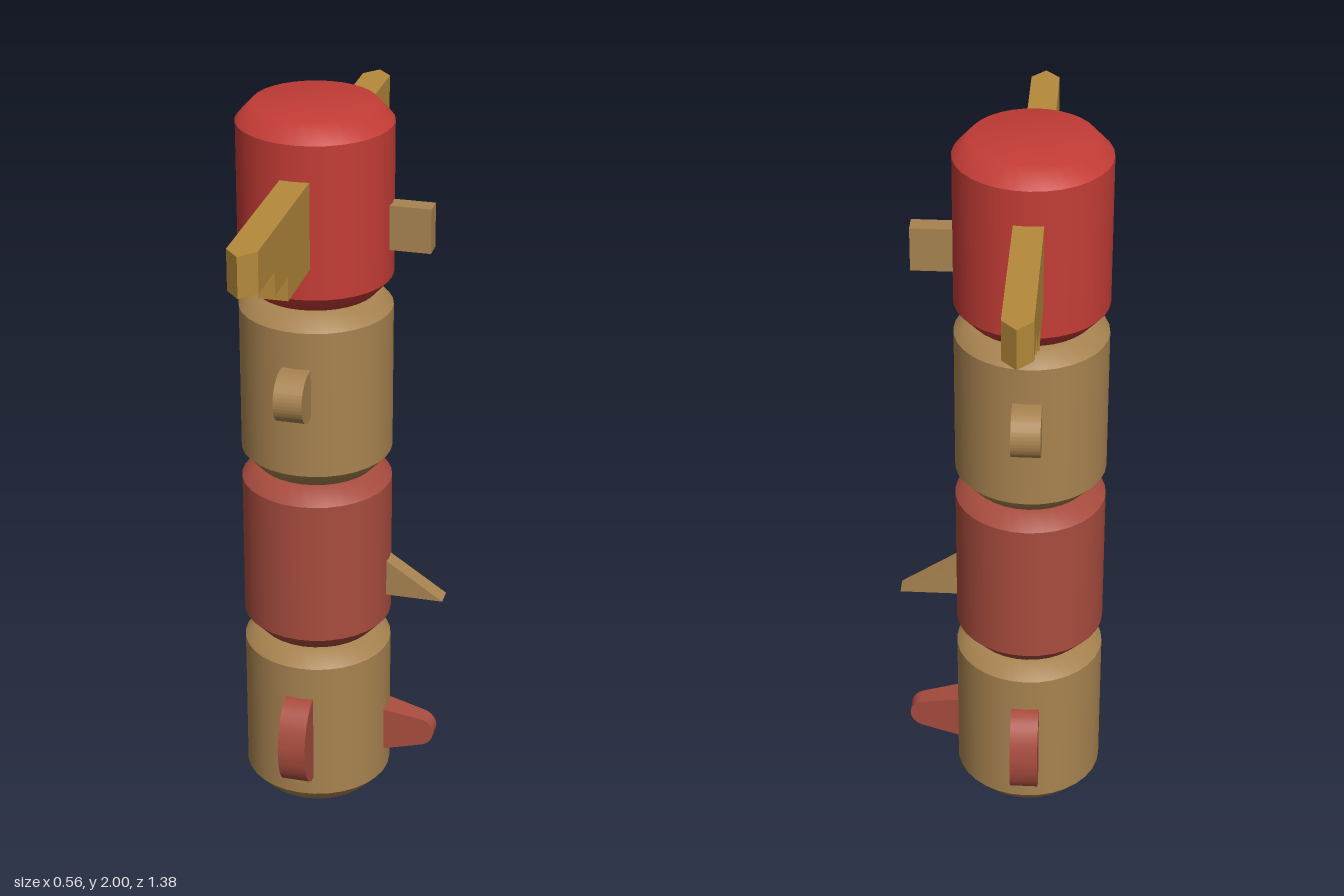
import * as THREE from 'three';
import { toCreasedNormals } from 'three/addons/utils/BufferGeometryUtils.js';

const R = 0.202;        // pole radius
const AXIS_X = -0.077;  // pole axis, offset by the beaks on one side
const WIDTH = 0.076;    // thickness of wings, ears and arms

function material(name, color) {
  const m = new THREE.MeshStandardMaterial({ color });
  m.name = name;
  return m;
}

// Extrudes a shape and centres it on its thickness
function slab(shape, depth, steps = 1) {
  return new THREE.ExtrudeGeometry(shape, { depth, steps, bevelEnabled: false, curveSegments: 20 })
    .translate(0, 0, -depth / 2);
}

function polygon(points) {
  return new THREE.Shape(points.map(([x, y]) => new THREE.Vector2(x, y)));
}

// Half ellipse bulging outwards from the pole
function roundedShape(start, y, rx, ry) {
  const s = new THREE.Shape();
  s.moveTo(0.15, y - ry);
  s.lineTo(start, y - ry);
  s.absellipse(start, y, rx, ry, -Math.PI / 2, Math.PI / 2, false);
  s.lineTo(0.15, y + ry);
  s.closePath();
  return s;
}

export function createModel() {
  const red = material('bright red', 0xc43c36);
  const brick = material('brick red', 0xa84c3e);
  const tan = material('tan wood', 0xa88350);
  const gold = material('golden wood', 0xb5893a);

  const model = new THREE.Group();
  model.name = 'totemPole';
  const pole = new THREE.Group();
  pole.name = 'pole';
  pole.position.x = AXIS_X;
  model.add(pole);

  function add(name, geometry, mat) {
    const mesh = new THREE.Mesh(geometry, mat);
    mesh.name = name;
    pole.add(mesh);
    return mesh;
  }

  // Places a profile drawn as (outward, up) on the front and back of the pole
  function addPair(name, geometry, mat) {
    add(name + 'Front', geometry, mat).rotation.y = -Math.PI / 2;
    add(name + 'Back', geometry, mat).rotation.y = Math.PI / 2;
  }

  // Four stacked drums with bevelled ends; doubled points keep the rims sharp
  const neck = 0.16, bevel = 0.046;
  const profile = [
    [0, 0], [neck, 0], [R, bevel], [R, bevel],
    [R, 0.5 - bevel], [R, 0.5 - bevel], [neck, 0.5], [0, 0.5],
  ].map(([x, y]) => new THREE.Vector2(x, y));
  const drum = new THREE.LatheGeometry(profile, 32);
  [tan, brick, tan, red].forEach((mat, i) => {
    add('section' + (i + 1), drum, mat).position.y = i * 0.5;
  });

  // Stepped wings; the middle ring of the end is pulled out to a ridge
  const wing = slab(polygon([
    [0.15, 1.63], [0.4, 1.63], [0.4, 1.692], [0.515, 1.692],
    [0.515, 1.755], [0.65, 1.755], [0.65, 1.86], [0.15, 1.86],
  ]), WIDTH, 2);
  const wp = wing.attributes.position;
  for (let i = 0; i < wp.count; i++) {
    if (wp.getX(i) > 0.64 && Math.abs(wp.getZ(i)) < 0.001) wp.setX(i, 0.692);
  }
  wing.computeVertexNormals();
  addPair('wing', wing, gold);

  // Rounded ears and arms
  addPair('ear', toCreasedNormals(slab(roundedShape(0.22, 1.286, 0.07, 0.067), WIDTH), 0.6), tan);
  addPair('arm', toCreasedNormals(slab(roundedShape(0.2, 0.23, 0.09, 0.128), WIDTH), 0.6), brick);

  // Square beak
  add('squareBeak', new THREE.BoxGeometry(0.157, 0.12, 0.05).translate(0.2295, 1.69, 0), tan);

  // Pointed beak, flat below
  add('pointedBeak', slab(polygon([
    [0.15, 0.616], [0.356, 0.616], [0.198, 0.722], [0.15, 0.754],
  ]), 0.05), tan);

  // Rounded snout, narrowing to its tip
  const snoutShape = new THREE.Shape();
  snoutShape.moveTo(0.15, 0.109);
  snoutShape.lineTo(0.303, 0.142);
  snoutShape.absarc(0.294, 0.184, 0.043, -1.36, 1.36, false);
  snoutShape.lineTo(0.15, 0.259);
  snoutShape.closePath();
  const snout = slab(snoutShape, 2);
  const sp = snout.attributes.position;
  for (let i = 0; i < sp.count; i++) {
    sp.setZ(i, sp.getZ(i) * THREE.MathUtils.mapLinear(sp.getX(i), 0.198, 0.337, 0.037, 0.022));
  }
  add('snout', toCreasedNormals(snout, 0.6), brick);

  return model;
}
